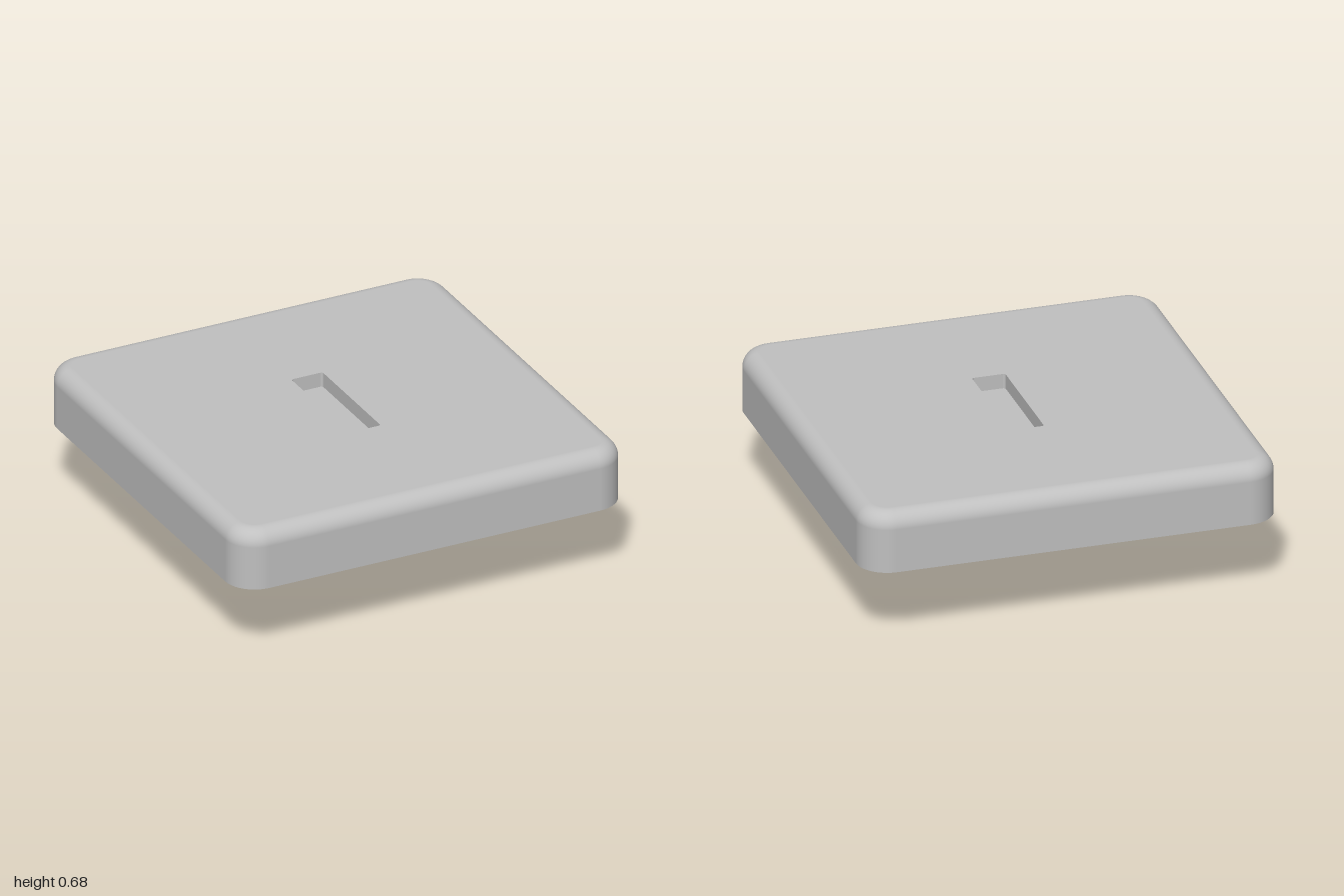
import * as THREE from 'three';

const ARC = 10; // segments per rounded corner
const BASE = 0.38, TOP = 0.675, CEILING = 0.525, SLOT_FLOOR = 0.603;
const FILLET = 0.08;
const OUTER = { hx: 1, hz: 1, r: 0.15 };
const RECESS = { hx: 0.875, hz: 0.875, r: 0.025 };
const SLOT = { hx: 0.08, hz: 0.295, r: 0.012 };

// Rounded rectangle outline: points with their outward directions
function outline({ hx, hz, r }, inset = 0) {
  const pts = [];
  for (let k = 0; k < 4; k++) {
    const sx = k === 0 || k === 3 ? 1 : -1, sz = k < 2 ? 1 : -1;
    for (let j = 0; j <= ARC; j++) {
      const a = (k + j / ARC) * Math.PI / 2;
      const nx = Math.cos(a), nz = Math.sin(a);
      pts.push({ x: sx * (hx - r) + nx * (r - inset), z: sz * (hz - r) + nz * (r - inset), nx, nz });
    }
  }
  return pts;
}

// Wall through levels of [y, inset, tilt]; descending levels face inward
function wall(rect, levels) {
  const side = levels[1][0] > levels[0][0] ? 1 : -1;
  const pos = [], nor = [], idx = [];
  levels.forEach(([y, inset, tilt], l) => {
    const ring = outline(rect, inset), n = ring.length;
    ring.forEach((p, i) => {
      const c = Math.cos(tilt) * side;
      pos.push(p.x, y, p.z);
      nor.push(p.nx * c, Math.sin(tilt), p.nz * c);
      if (l === 0) return;
      const a = (l - 1) * n + i, b = (l - 1) * n + (i + 1) % n;
      idx.push(a, a + n, b, b, a + n, b + n);
    });
  });
  const g = new THREE.BufferGeometry();
  g.setAttribute('position', new THREE.Float32BufferAttribute(pos, 3));
  g.setAttribute('normal', new THREE.Float32BufferAttribute(nor, 3));
  g.setIndex(idx);
  return g;
}

// Flat horizontal face, optionally with a hole
function face(rect, inset, y, up, hole) {
  const flat = (r, i) => outline(r, i).map(p => new THREE.Vector2(p.x, p.z));
  const shape = new THREE.Shape(flat(rect, inset));
  if (hole) shape.holes.push(new THREE.Path(flat(hole, 0)));
  return new THREE.ShapeGeometry(shape).rotateX(up ? -Math.PI / 2 : Math.PI / 2).translate(0, y, 0);
}

export function createModel() {
  const model = new THREE.Group();
  model.name = 'slottedCap';
  const grey = new THREE.MeshStandardMaterial({ color: 0xc0c0c0 });
  grey.name = 'grey';
  const add = (name, geometry) => {
    const mesh = new THREE.Mesh(geometry, grey);
    mesh.name = name;
    model.add(mesh);
    return mesh;
  };

  // Outer shell: straight skirt, then a rounded top edge
  const levels = [[BASE, 0, 0]];
  for (let i = 0; i <= 10; i++) {
    const t = i / 10 * Math.PI / 2;
    levels.push([TOP - FILLET + FILLET * Math.sin(t), FILLET * (1 - Math.cos(t)), t]);
  }
  add('outerShell', wall(OUTER, levels));
  add('topFace', face(OUTER, FILLET, TOP, true, SLOT));

  // Blind slot in the top
  add('slotWall', wall(SLOT, [[TOP, 0, 0], [SLOT_FLOOR, 0, 0]]));
  add('slotFloor', face(SLOT, 0, SLOT_FLOOR, true));

  // Hollow underside
  add('bottomRim', face(OUTER, 0, BASE, false, RECESS));
  add('recessWall', wall(RECESS, [[CEILING, 0, 0], [BASE, 0, 0]]));
  add('recessCeiling', face(RECESS, 0, CEILING, false));

  // Two pegs hanging from the recess
  for (const [name, s] of [['leftPeg', 1], ['rightPeg', -1]]) {
    add(name, new THREE.BoxGeometry(0.135, CEILING, 0.36)).position.set(s * 0.3575, CEILING / 2, 0);
  }
  return model;
}
